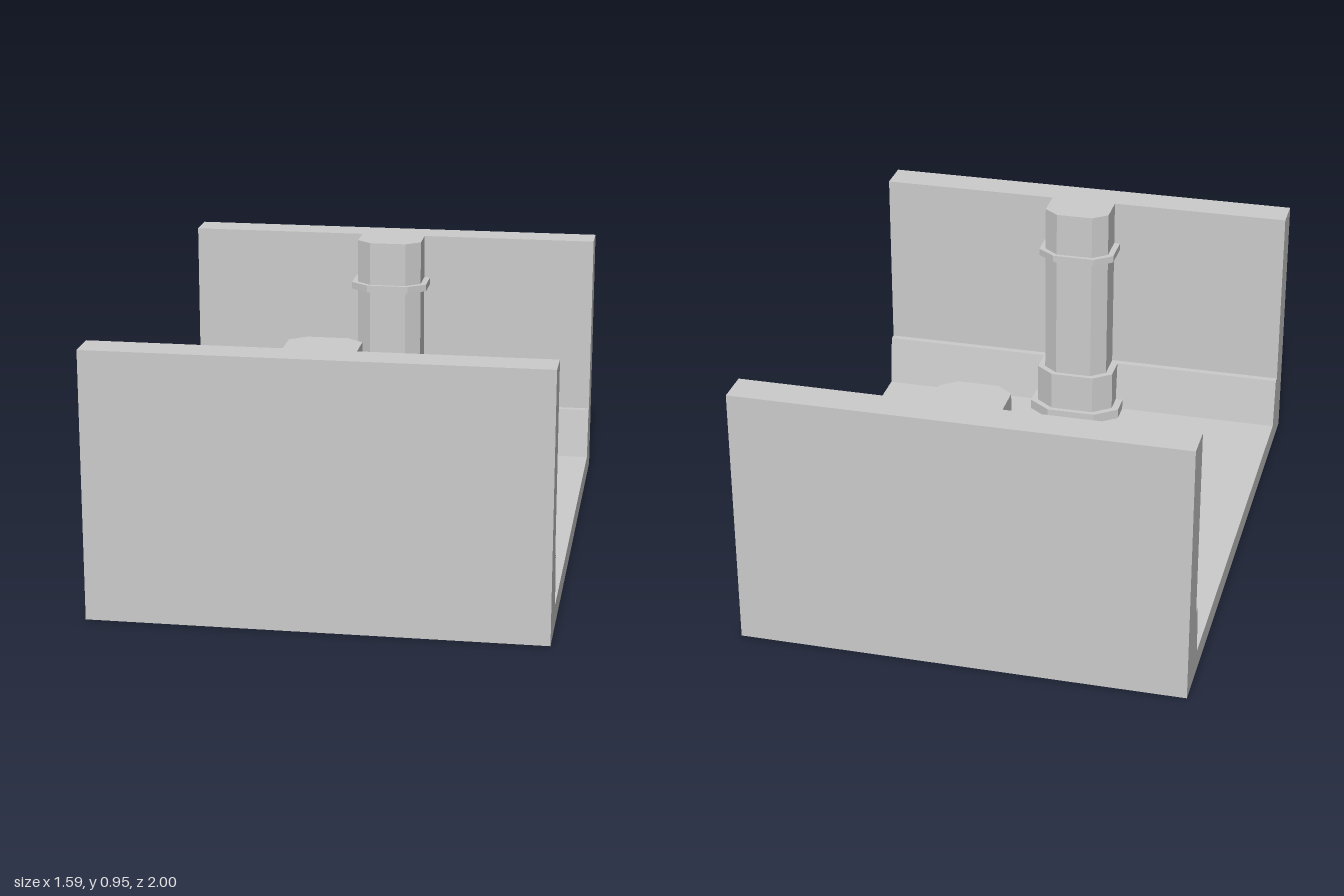
import * as THREE from 'three';

const HALF_X = 0.795, TOP = 0.955, FLOOR = 0.08, UNDER = 0.075;

const material = new THREE.MeshStandardMaterial({ color: 0xcccccc, flatShading: true, side: THREE.DoubleSide });

function addMesh(parent, geometry, name) {
  const mesh = new THREE.Mesh(geometry, material);
  mesh.name = name;
  parent.add(mesh);
  return mesh;
}

function makeShape(points) {
  return new THREE.Shape(points.map(([x, y]) => new THREE.Vector2(x, y)));
}

// Half-octagon block set into the +z wall, chamfered towards the room
function pillarBlock(halfWidth, chamferZ, frontHalf, frontZ, y0, y1) {
  const right = [[halfWidth, 0.9], [halfWidth, chamferZ], [frontHalf, frontZ]];
  const left = right.map(([x, z]) => [-x, z]).reverse();
  const geometry = new THREE.ExtrudeGeometry(makeShape([...right, ...left]), { depth: y1 - y0, bevelEnabled: false });
  geometry.rotateX(Math.PI / 2);
  geometry.translate(0, y1, 0);
  return geometry;
}

function createPillar(name) {
  const pillar = new THREE.Group();
  pillar.name = name;
  addMesh(pillar, pillarBlock(0.125, 0.76, 0.07, 0.715, FLOOR, TOP), 'pillarShaft');
  addMesh(pillar, pillarBlock(0.148, 0.752, 0.08, 0.7, 0.76, 0.787), 'pillarRing');
  addMesh(pillar, pillarBlock(0.152, 0.752, 0.083, 0.697, FLOOR, 0.27), 'pillarBase');
  addMesh(pillar, pillarBlock(0.18, 0.743, 0.095, 0.678, FLOOR, 0.118), 'pillarFoot');
  return pillar;
}

export function createModel() {
  const model = new THREE.Group();
  model.name = 'corridorSection';

  // Floor and both walls with sloped skirting, one profile run along x
  const half = [[1, UNDER], [1, TOP], [0.875, TOP], [0.875, 0.27], [0.85, 0.27], [0.826, FLOOR]];
  const mirrored = half.map(([z, y]) => [-z, y]).reverse();
  const shell = new THREE.ExtrudeGeometry(makeShape([...half, ...mirrored]), { depth: HALF_X * 2, bevelEnabled: false });
  shell.rotateY(-Math.PI / 2);
  shell.translate(HALF_X, 0, 0);
  addMesh(model, shell, 'floorAndWalls');

  // Thin rim around the hollow underside
  for (let i = 0; i < 4; i++) {
    const alongX = i % 2 === 0;
    const rim = new THREE.PlaneGeometry(alongX ? HALF_X * 2 : 2, UNDER);
    rim.translate(0, UNDER / 2, alongX ? 1 : HALF_X);
    rim.rotateY(i * Math.PI / 2);
    addMesh(model, rim, ['frontRim', 'leftRim', 'backRim', 'rightRim'][i]);
  }

  // Facing pillars
  model.add(createPillar('frontPillar'));
  const back = createPillar('backPillar');
  back.rotation.y = Math.PI;
  model.add(back);

  return model;
}
